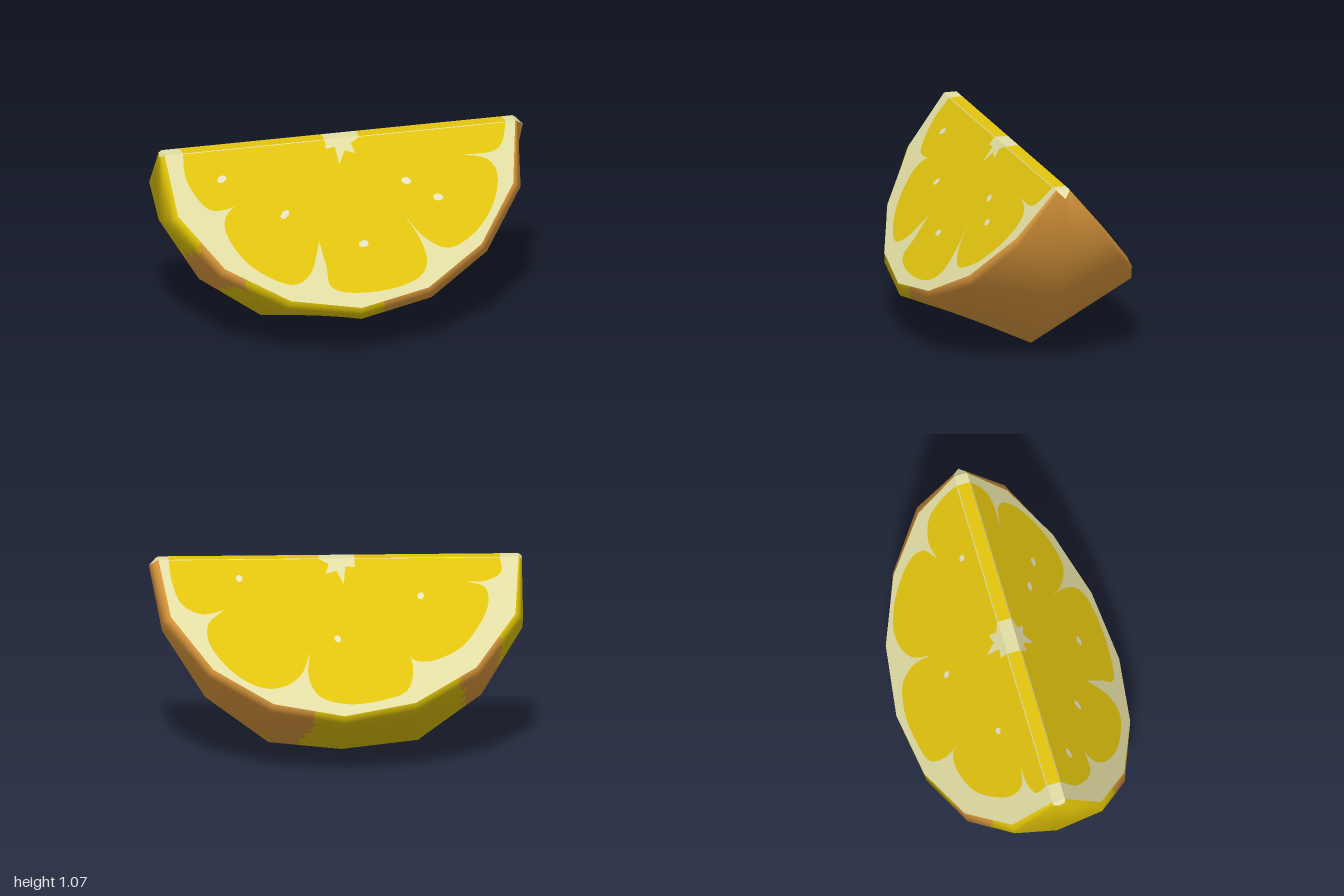
import * as THREE from 'three';

const mat = (name, color, side = THREE.FrontSide) => {
  const m = new THREE.MeshStandardMaterial({ color, side });
  m.name = name;
  return m;
};

const TOP = 1.07;
// Outline of the front cut face, left end to right end
const RIM = [[-0.98, 1.07], [-0.955, 0.8], [-0.74, 0.55], [-0.41, 0.385], [-0.03, 0.325],
  [0.35, 0.385], [0.67, 0.55], [0.89, 0.8], [0.95, 1.07]];
// Lowest ridge of the rind, on z = 0
const RIDGE = [[-1, 1.045], [-1, 0.67], [-0.78, 0.3], [-0.44, 0.05], [-0.03, 0.003],
  [0.36, 0.045], [0.7, 0.3], [0.93, 0.67], [1, 1.03]];

// Depth of the two sloping cut planes
const planeZ = (y, side) => side > 0
  ? 0.05 + 0.57 * (TOP - y) / 0.745
  : -0.02 - 0.6 * (TOP - y) / 0.71;
const backRim = RIM.map(([x, y]) => [x, TOP - (TOP - y) * 0.953]);

// Juice lobes: each list ends at a membrane tip, the next continues from it
const FRONT_LOBES = [
  [[-0.88, 1.068], [-0.88, 0.95], [-0.8, 0.83], [-0.7, 0.81], [-0.52, 0.845]],
  [[-0.66, 0.81], [-0.71, 0.74], [-0.68, 0.65], [-0.6, 0.556], [-0.47, 0.48], [-0.36, 0.457], [-0.27, 0.51], [-0.21, 0.635]],
  [[-0.19, 0.52], [-0.18, 0.433], [-0.07, 0.396], [0.14, 0.396], [0.3, 0.433], [0.36, 0.5], [0.34, 0.6], [0.27, 0.717]],
  [[0.36, 0.61], [0.49, 0.55], [0.65, 0.61], [0.77, 0.73], [0.81, 0.85], [0.76, 0.92], [0.63, 0.947]],
  [[0.79, 0.947], [0.86, 0.984], [0.895, 1.068]],
];
const BACK_LOBES = [
  [[-0.88, 1.068], [-0.88, 1.0], [-0.8, 0.965], [-0.7, 0.96]],
  [[-0.8, 0.93], [-0.8, 0.83], [-0.68, 0.68], [-0.52, 0.61], [-0.41, 0.61], [-0.38, 0.65]],
  [[-0.4, 0.56], [-0.36, 0.47], [-0.22, 0.43], [-0.05, 0.415], [0.1, 0.45], [0.16, 0.54], [0.15, 0.65]],
  [[0.2, 0.55], [0.3, 0.495], [0.42, 0.495], [0.56, 0.56], [0.68, 0.68], [0.69, 0.78], [0.6, 0.845]],
  [[0.72, 0.825], [0.83, 0.87], [0.88, 0.97], [0.895, 1.068]],
];
// Pith core, right to left
const CORE = [[0.09, 1.068], [0.04, 1.045], [0.055, 1.0], [0, 1.015], [-0.04, 0.955],
  [-0.05, 1.035], [-0.1, 1.03], [-0.1, 1.068]];

const FRONT_SEEDS = [[-0.69, 0.945, 0.3], [-0.375, 0.765, 0.5], [0.03, 0.605, 0.1], [0.31, 0.86, -0.2], [0.47, 0.775, -0.1]];
const BACK_SEEDS = [[-0.45, 0.9, -0.3], [0.52, 0.985, 0.2], [0, 0.71, 0.4]];

// Flat shape laid on one of the cut planes
function sheet(name, shape, side, lift, material) {
  const g = new THREE.ShapeGeometry(shape, 8);
  const p = g.attributes.position;
  for (let i = 0; i < p.count; i++) p.setZ(i, planeZ(p.getY(i), side) + side * lift);
  if (side < 0) g.setIndex(Array.from(g.index.array).reverse());
  g.computeVertexNormals();
  const m = new THREE.Mesh(g, material);
  m.name = name;
  return m;
}

const polygon = pts => new THREE.Shape(pts.map(p => new THREE.Vector2(...p)));

function fleshShape(lobes) {
  const s = new THREE.Shape();
  s.moveTo(...lobes[0][0]);
  lobes.forEach((lobe, k) => s.splineThru((k ? lobe : lobe.slice(1)).map(p => new THREE.Vector2(...p))));
  CORE.forEach(p => s.lineTo(...p));
  s.closePath();
  return s;
}

// Rind cross rows: front rim, front bevel, ridge, back bevel, back rim
function rindRows() {
  const rim = (pts, side) => pts.map(([x, y]) => new THREE.Vector3(x, y, planeZ(y, side)));
  const bevel = row => row.map((v, i) => {
    const end = i === 0 || i === 8;
    return end
      ? new THREE.Vector3(v.x + Math.sign(v.x) * 0.016, 1.06, v.z * 0.9)
      : new THREE.Vector3(-0.03 + (v.x + 0.03) * 1.045, TOP - (TOP - v.y) * 1.092, v.z * 0.985);
  });
  const front = rim(RIM, 1), back = rim(backRim, -1);
  const ridge = RIDGE.map(([x, y], i) => new THREE.Vector3(x, y, i % 8 ? 0 : 0.015));
  return [front, bevel(front), ridge, bevel(back), back];
}

// Orange blush on the right half and in a band near the left end
function isOrange(x, z) {
  const w = 1 - Math.abs(z) / 0.62;
  const wobble = 0.012 * Math.sin(z * 40);
  if (x > 0.11 + 0.1 * w + wobble) return true;
  return x > -0.87 + wobble && x < -0.58 - 0.1 * Math.min(1, w * 3) + wobble;
}

function buildRind(rows, materials) {
  // Coarse smooth normals, interpolated over a finer grid for the colour borders
  const coarse = new THREE.BufferGeometry().setFromPoints(rows.flat());
  const ci = [];
  for (let j = 0; j < 4; j++) for (let i = 0; i < 8; i++) {
    const a = j * 9 + i;
    ci.push(a, a + 9, a + 1, a + 1, a + 9, a + 10);
  }
  coarse.setIndex(ci);
  coarse.computeVertexNormals();
  const N = 12, W = 8 * N, H = 4 * N;
  const sample = (attr, i, j) => {
    const ix = Math.min(7, Math.floor(i / N)), jy = Math.min(3, Math.floor(j / N));
    const at = (a, b) => new THREE.Vector3().fromBufferAttribute(attr, b * 9 + a);
    const u = i / N - ix, v = j / N - jy;
    return at(ix, jy).lerp(at(ix + 1, jy), u).lerp(at(ix, jy + 1).lerp(at(ix + 1, jy + 1), u), v);
  };
  const pos = [], nor = [], faces = [[], []];
  for (let j = 0; j <= H; j++) for (let i = 0; i <= W; i++) {
    pos.push(sample(coarse.attributes.position, i, j));
    nor.push(...sample(coarse.attributes.normal, i, j).normalize().toArray());
  }
  const add = (a, b, c) => {
    const m = pos[a].clone().add(pos[b]).add(pos[c]).divideScalar(3);
    faces[isOrange(m.x, m.z) ? 1 : 0].push(a, b, c);
  };
  for (let j = 0; j < H; j++) for (let i = 0; i < W; i++) {
    const a = j * (W + 1) + i, b = a + W + 1;
    add(a, b, a + 1);
    add(a + 1, b, b + 1);
  }
  const g = new THREE.BufferGeometry().setFromPoints(pos);
  g.setAttribute('normal', new THREE.Float32BufferAttribute(nor, 3));
  g.setIndex(faces.flat());
  g.addGroup(0, faces[0].length, 0);
  g.addGroup(faces[0].length, faces[1].length, 1);
  const m = new THREE.Mesh(g, materials);
  m.name = 'rind';
  return m;
}

export function createModel() {
  const group = new THREE.Group();
  group.name = 'citrusWedge';
  const flesh = mat('juicyYellow', 0xe2c40e);
  const pith = mat('creamPith', 0xe2dea4, THREE.DoubleSide);
  const seed = mat('paleSeed', 0xe6e2c4);
  const rinds = [mat('yellowRind', 0xdcc005), mat('orangeRind', 0xdb983c)];

  const rows = rindRows();
  group.add(buildRind(rows, rinds));

  // Cut faces with flesh and seeds
  for (const [label, side, rim, lobes, seeds] of [
    ['front', 1, RIM, FRONT_LOBES, FRONT_SEEDS],
    ['back', -1, backRim, BACK_LOBES, BACK_SEEDS]]) {
    group.add(sheet(label + 'Pith', polygon(rim), side, 0, pith));
    group.add(sheet(label + 'Flesh', fleshShape(lobes), side, 0.004, flesh));
    for (const [x, y, turn] of seeds) {
      const s = new THREE.Shape().absellipse(x, y, side > 0 ? 0.027 : 0.018, 0.015, 0, Math.PI * 2, false, turn);
      group.add(sheet(label + 'Seed', s, side, 0.008, seed));
    }
  }

  // Narrow top strip between the two cut faces
  for (const [name, x0, x1, m] of [['topPithLeft', 0.895, 0.95, pith], ['topFleshLeft', 0.09, 0.895, flesh],
    ['topCore', -0.1, 0.09, pith], ['topFleshRight', -0.88, -0.1, flesh], ['topPithRight', -0.98, -0.88, pith]]) {
    const strip = new THREE.Mesh(new THREE.BoxGeometry(x1 - x0, 0.004, 0.07), m);
    strip.position.set((x0 + x1) / 2, TOP - 0.002, 0.015);
    strip.name = name;
    group.add(strip);
  }

  // Small caps closing the rind at both tips
  for (const i of [0, 8]) {
    const g = new THREE.BufferGeometry().setFromPoints(rows.map(r => r[i]));
    g.setIndex(i ? [0, 1, 2, 0, 2, 4, 2, 3, 4] : [0, 2, 1, 0, 4, 2, 2, 4, 3]);
    g.computeVertexNormals();
    const cap = new THREE.Mesh(g, pith);
    cap.name = i ? 'leftTip' : 'rightTip';
    group.add(cap);
  }
  return group;
}
